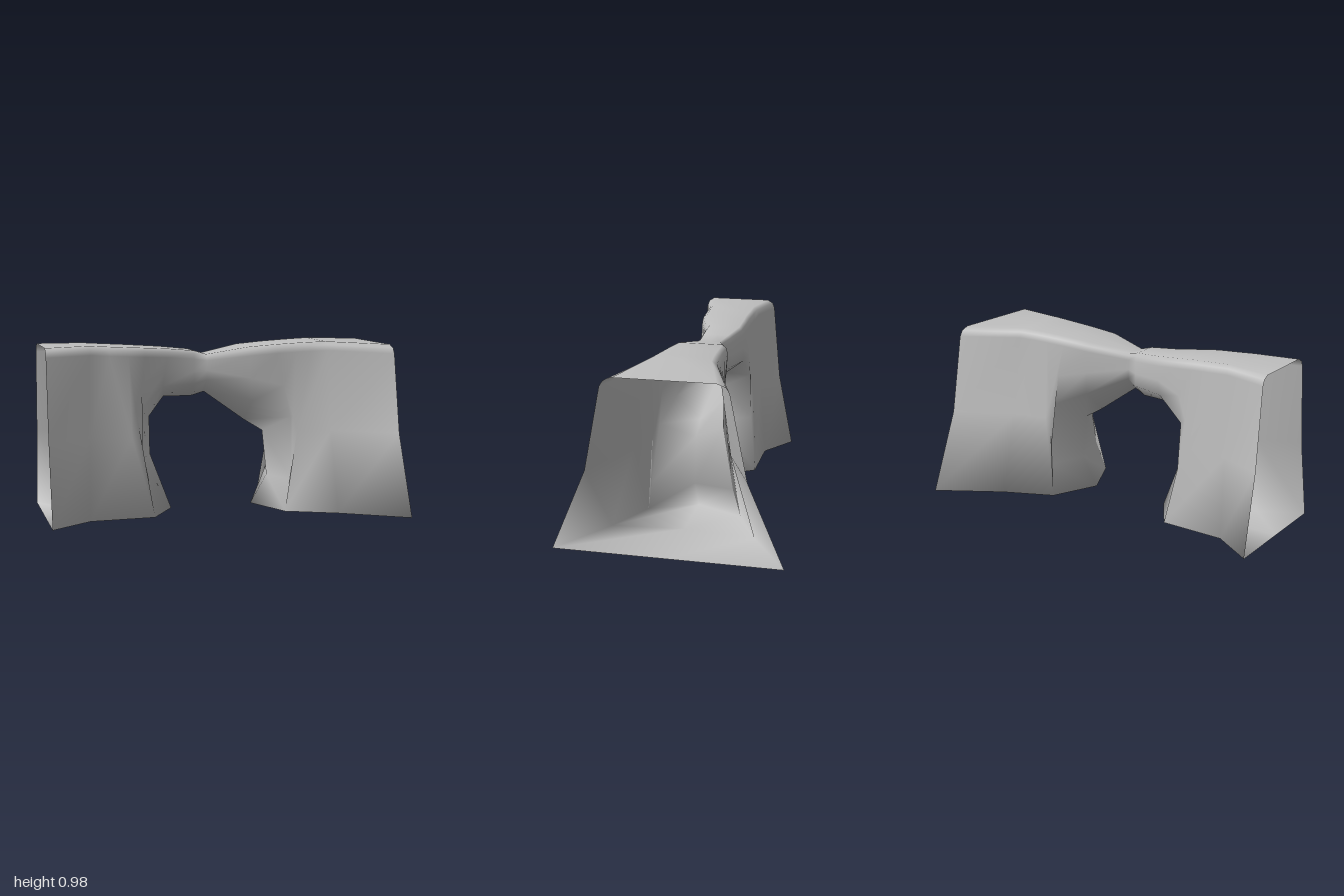
import * as THREE from 'three';

const stone = new THREE.MeshStandardMaterial({ color: 0xbfbfbf, side: THREE.DoubleSide });
stone.name = 'stone grey';

// Cross-sections swept over the arch from the right end to the left end:
// top [x, y, half width], lower lip [x, y, half width], underside ridge [x, y], z shift
const sections = [
  [[-1, 0.972, 0.225], [-1, 0, 0.36], [-1, 0], 0],
  [[-0.75, 0.975, 0.165], [-0.77, 0, 0.215], [-0.74, 0], 0],
  [[-0.64, 0.968, 0.16], [-0.4, 0, 0.215], [-0.255, 0], 0],
  [[-0.53, 0.962, 0.155], [-0.46, 0.33, 0.175], [-0.38, 0.33], 0],
  [[-0.43, 0.955, 0.14], [-0.47, 0.6, 0.15], [-0.38, 0.55], -0.015],
  [[-0.29, 0.945, 0.115], [-0.32, 0.73, 0.115], [-0.29, 0.66], -0.035],
  [[-0.13, 0.93, 0.092], [-0.13, 0.74, 0.092], [-0.13, 0.66], -0.02],
  [[-0.055, 0.908, 0.075], [-0.055, 0.76, 0.075], [-0.055, 0.685], 0],
  [[0.18, 0.95, 0.155], [0.2, 0.64, 0.14], [0.19, 0.51], 0],
  [[0.34, 0.962, 0.17], [0.42, 0.54, 0.18], [0.305, 0.44], 0],
  [[0.45, 0.968, 0.18], [0.41, 0.18, 0.235], [0.335, 0.17], 0],
  [[0.54, 0.972, 0.19], [0.36, 0, 0.27], [0.235, 0], 0],
  [[0.64, 0.975, 0.205], [0.64, 0, 0.4], [0.6, 0], 0],
  [[1, 0.958, 0.335], [1, 0, 0.62], [1, 0], 0],
];

// One closed loop: top centre, rounded shoulder, waist, lip, ridge, then the mirrored back
function sectionLoop([[tx, ty, tw], [lx, ly, lw], [bx, by], shift]) {
  const waist = (tw + lw) / 2 - 0.18 * Math.max(0, lw - tw);
  const drop = Math.min(0.05, (ty - ly) * 0.25);
  const half = [
    [tx, ty, tw * 0.8],
    [tx, ty - drop * 0.36, tw * 0.94],
    [tx, ty - drop, tw],
    [(tx + lx) / 2, (ty - drop + ly) / 2, waist],
    [lx, ly, lw],
  ];
  const back = half.map(([x, y, z]) => [x, y, -z]).reverse();
  return [[tx, ty, 0], ...half, [bx, by, 0], ...back].map(([x, y, z]) => [x, y, z + shift]);
}

// Skin the loops, leaving both ends open
function skin(loops) {
  const n = loops[0].length;
  const index = [];
  for (let i = 0; i < loops.length - 1; i++) {
    for (let j = 0; j < n; j++) {
      const a = i * n + j;
      const b = i * n + (j + 1) % n;
      index.push(a, b, a + n, b, b + n, a + n);
    }
  }
  const geometry = new THREE.BufferGeometry();
  geometry.setAttribute('position', new THREE.Float32BufferAttribute(loops.flat(2), 3));
  geometry.setIndex(index);
  geometry.computeVertexNormals();
  return geometry;
}

export function createModel() {
  const group = new THREE.Group();
  group.name = 'rockArch';
  const shell = new THREE.Mesh(skin(sections.map(sectionLoop)), stone);
  shell.name = 'archShell';
  group.add(shell);
  return group;
}
